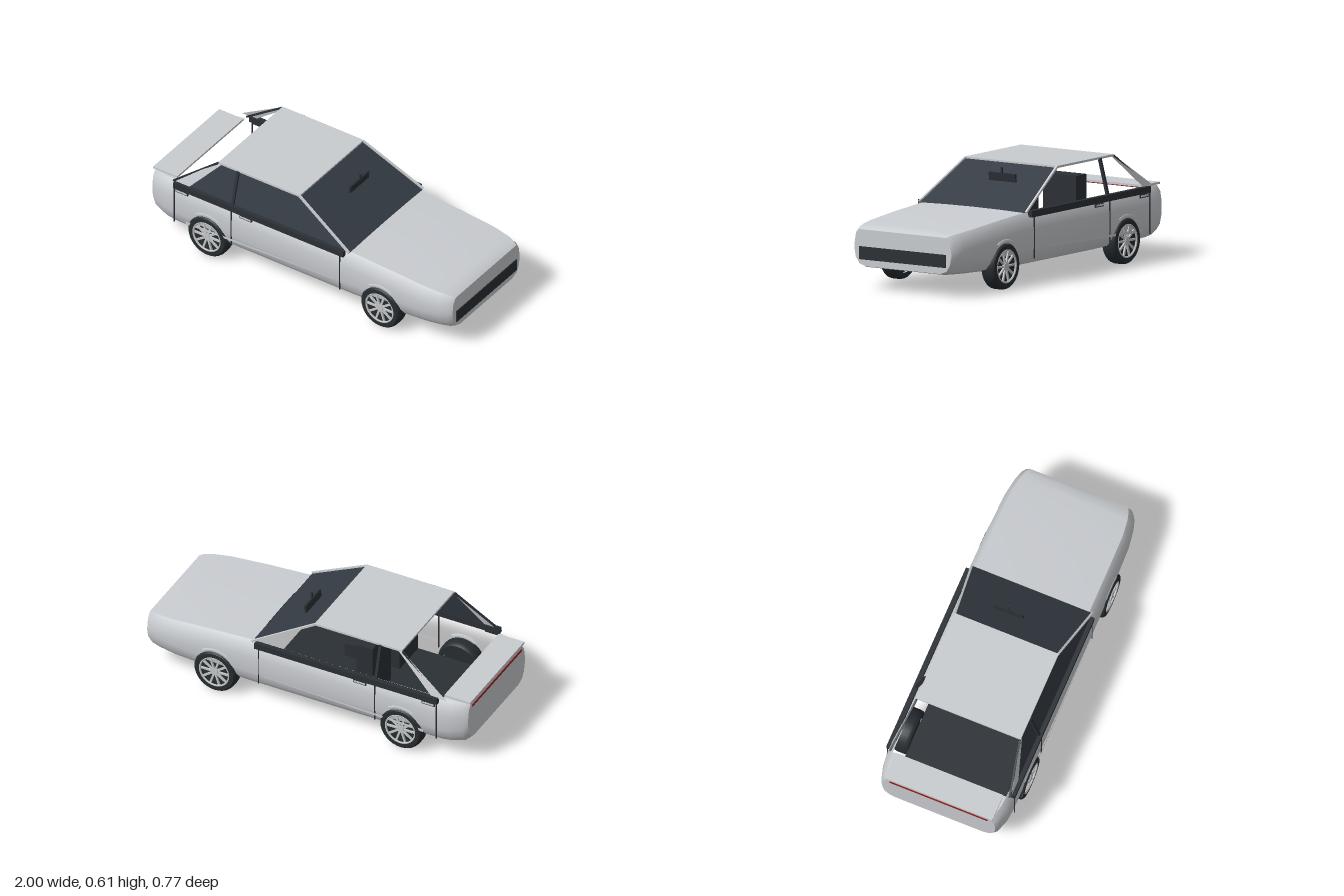
import * as THREE from 'three';
import { toCreasedNormals } from 'three/addons/utils/BufferGeometryUtils.js';

const mat = (name, color, side = THREE.FrontSide) => {
  const m = new THREE.MeshStandardMaterial({ color, side });
  m.name = name;
  return m;
};

export function createModel() {
  const car = new THREE.Group();
  car.name = 'car';
  const paint = mat('silver paint', 0xc9ccd0);
  const trimPaint = mat('silver panel', 0xc9ccd0, THREE.DoubleSide);
  const glass = mat('dark glass', 0x343b43, THREE.DoubleSide);
  const black = mat('black trim', 0x2b3036);
  const rubber = mat('tyre rubber', 0x262c30);
  const alloy = mat('alloy', 0xc4c6c8);
  const red = mat('red lamp', 0x8c1414);

  const add = (name, geo, material, x = 0, y = 0, z = 0, parent = car) => {
    const m = new THREE.Mesh(geo, material);
    m.name = name;
    m.position.set(x, y, z);
    parent.add(m);
    return m;
  };
  const box = (name, material, sx, sy, sz, x, y, z, parent) =>
    add(name, new THREE.BoxGeometry(sx, sy, sz), material, x, y, z, parent);

  // Skin joining cross-sections that all have the same number of points
  const loft = (rings) => {
    const n = rings[0].length, idx = [];
    for (let i = 0; i < rings.length - 1; i++)
      for (let j = 0; j < n - 1; j++) {
        const a = i * n + j, b = a + n;
        idx.push(a, a + 1, b, a + 1, b + 1, b);
      }
    const g = new THREE.BufferGeometry();
    g.setAttribute('position', new THREE.Float32BufferAttribute(rings.flat(2), 3));
    g.setIndex(idx);
    return toCreasedNormals(g, 0.6);
  };
  // Flat polygon from corner points
  const panel = (name, material, pts) => {
    const idx = [];
    for (let i = 1; i < pts.length - 1; i++) idx.push(0, i, i + 1);
    const g = new THREE.BufferGeometry();
    g.setAttribute('position', new THREE.Float32BufferAttribute(pts.flat(), 3));
    g.setIndex(idx);
    const flat = g.toNonIndexed();
    flat.computeVertexNormals();
    return add(name, flat, material);
  };
  // Thin bar between two points
  const bar = (name, material, p, q, w) => {
    const a = new THREE.Vector3(...p), b = new THREE.Vector3(...q);
    const m = box(name, material, w, w, a.distanceTo(b), 0, 0, 0);
    m.position.copy(a).add(b).multiplyScalar(0.5);
    m.lookAt(b);
    return m;
  };

  // Body stations: x, half width, top, bottom
  const stations = [
    [-0.995, 0.335, 0.385, 0.15], [-0.97, 0.35, 0.39, 0.125], [-0.9, 0.37, 0.392, 0.11],
    [-0.84, 0.375, 0.395, 0.104], [-0.4, 0.378, 0.395, 0.1], [0.33, 0.378, 0.395, 0.1],
    [0.6, 0.375, 0.378, 0.105], [0.82, 0.37, 0.36, 0.115], [0.92, 0.355, 0.35, 0.12],
    [0.97, 0.34, 0.343, 0.123], [0.995, 0.325, 0.333, 0.13],
  ];
  const side = ([x, w, t, b]) => {
    const half = [[0.9, t], [0.97, t - 0.03], [1, t - 0.09], [1, b + 0.1], [0.97, b + 0.05], [0.9, b + 0.015], [0.77, b]];
    const near = half.map(([k, y]) => [x, y, k * w]);
    return [...near, ...near.map(([px, y, z]) => [px, y, -z]).reverse()];
  };
  const deck = ([x, w, t], i, arr) => {
    const crown = i === arr.length - 1 || x < -0.98 ? 0 : 0.006;
    return [-0.9, -0.5, 0, 0.5, 0.9].map((k) => [x, t + crown * (1 - k * k / 0.81), k * w]);
  };
  const point = (x, y, n) => Array.from({ length: n }, () => [x, y, 0]);
  add('body shell', loft([point(-0.995, 0.25, 14), ...stations.map(side), point(0.995, 0.23, 14)]), paint);
  add('bonnet', loft([...stations.slice(5).map(deck), point(0.995, 0.23, 5)]), paint);
  add('rear deck', loft([point(-0.995, 0.25, 5), ...stations.slice(0, 4).map(deck)]), paint);

  // Boot lid, lamp strip and grille
  box('boot lid', paint, 0.16, 0.012, 0.64, -0.92, 0.398, 0);
  box('tail lamp', red, 0.008, 0.01, 0.58, -0.996, 0.365, 0);
  box('grille', black, 0.008, 0.072, 0.58, 0.996, 0.203, 0);

  // Cabin: roof, windscreen, side glass
  box('roof', paint, 0.54, 0.012, 0.62, -0.302, 0.602, 0);
  panel('windscreen', glass, [[-0.035, 0.6, 0.3], [0.33, 0.395, 0.355], [0.33, 0.395, -0.355], [-0.035, 0.6, -0.3]]);
  panel('left side window', glass, [[-0.74, 0.4, 0.36], [0.31, 0.4, 0.36], [-0.04, 0.6, 0.306], [-0.565, 0.6, 0.306]]);

  // Cabin floor and seats
  box('cabin floor', black, 1.15, 0.01, 0.6, -0.28, 0.15, 0);
  for (const s of [1, -1]) {
    box('seat back', black, 0.1, 0.34, 0.22, -0.32, 0.35, s * 0.16);
    box('seat cushion', black, 0.26, 0.08, 0.22, -0.16, 0.2, s * 0.16);
  }

  // Rear-view mirror
  const mirror = box('mirror', black, 0.012, 0.045, 0.178, 0.115, 0.543, -0.05);
  mirror.rotation.z = -0.1;
  box('mirror stem', black, 0.01, 0.036, 0.01, 0.122, 0.58, -0.05);

  for (const s of [1, -1]) {
    // Pillars and belt strip
    const back = s > 0 ? 0 : -0.05;
    panel('rear pillar', trimPaint, [[-0.83 + back, 0.4, s * 0.364], [-0.735 + back, 0.4, s * 0.364],
      [-0.55, 0.6, s * 0.31], [-0.58, 0.6, s * 0.31]]);
    bar('rear pillar edge', black, [-0.84, 0.398, s * 0.355], [-0.575, 0.6, s * 0.307], 0.01);
    bar('front pillar', paint, [0.33, 0.398, s * 0.358], [-0.035, 0.602, s * 0.306], 0.012);
    bar('centre pillar', black, [-0.44, 0.4, s * 0.363], [-0.44, 0.6, s * 0.31], 0.016);
    box('belt strip', black, 1.13, 0.036, 0.028, -0.26, 0.388, s * 0.368);

    // Door seams
    for (const x of [-0.82, -0.44, 0.28]) box('door seam', black, 0.005, 0.23, 0.006, x, 0.255, s * 0.377);
    // Door handles
    for (const x of [-0.77, -0.345]) {
      box('handle surround', black, 0.08, 0.018, 0.008, x, 0.358, s * 0.375);
      box('handle', paint, 0.07, 0.01, 0.008, x, 0.359, s * 0.377);
    }
    // Tapered side crease
    panel('side crease', trimPaint, [[-0.74, 0.16, s * 0.384], [0.25, 0.197, s * 0.381],
      [0.25, 0.201, s * 0.381], [-0.74, 0.178, s * 0.384]]);

    for (const x of [-0.6, 0.55]) {
      // Arch flare
      const arch = add('arch flare', new THREE.TorusGeometry(0.135, 0.014, 6, 16, 1.1), paint, x, 0.133, s * 0.373);
      arch.rotation.z = Math.PI / 2 - 0.55;
      arch.scale.z = 0.6;

      // Wheel, outer face towards local +z
      const wheel = new THREE.Group();
      wheel.name = 'wheel';
      wheel.position.set(x, 0.13, s * 0.341);
      if (s < 0) wheel.rotation.y = Math.PI;
      car.add(wheel);
      const profile = [[0.092, -0.044], [0.118, -0.044], [0.127, -0.034], [0.13, -0.02], [0.13, 0.02],
        [0.127, 0.034], [0.118, 0.044], [0.094, 0.044], [0.092, 0.03]].map(([r, y]) => new THREE.Vector2(r, y));
      add('tyre', toCreasedNormals(new THREE.LatheGeometry(profile, 32), 0.7), rubber, 0, 0, 0, wheel).rotation.x = Math.PI / 2;
      add('wheel disc', new THREE.CylinderGeometry(0.093, 0.093, 0.06, 32), rubber, 0, 0, 0, wheel).rotation.x = Math.PI / 2;
      add('rim', new THREE.TorusGeometry(0.09, 0.006, 6, 32), alloy, 0, 0, 0.04, wheel);
      add('hub', new THREE.CylinderGeometry(0.022, 0.022, 0.014, 16), alloy, 0, 0, 0.036, wheel).rotation.x = Math.PI / 2;
      for (let i = 0; i < 10; i++) {
        const a = (i / 10) * Math.PI * 2;
        box('spoke', alloy, 0.072, 0.011, 0.01, Math.cos(a) * 0.053, Math.sin(a) * 0.053, 0.035, wheel).rotation.z = a;
      }
    }
  }
  return car;
}
